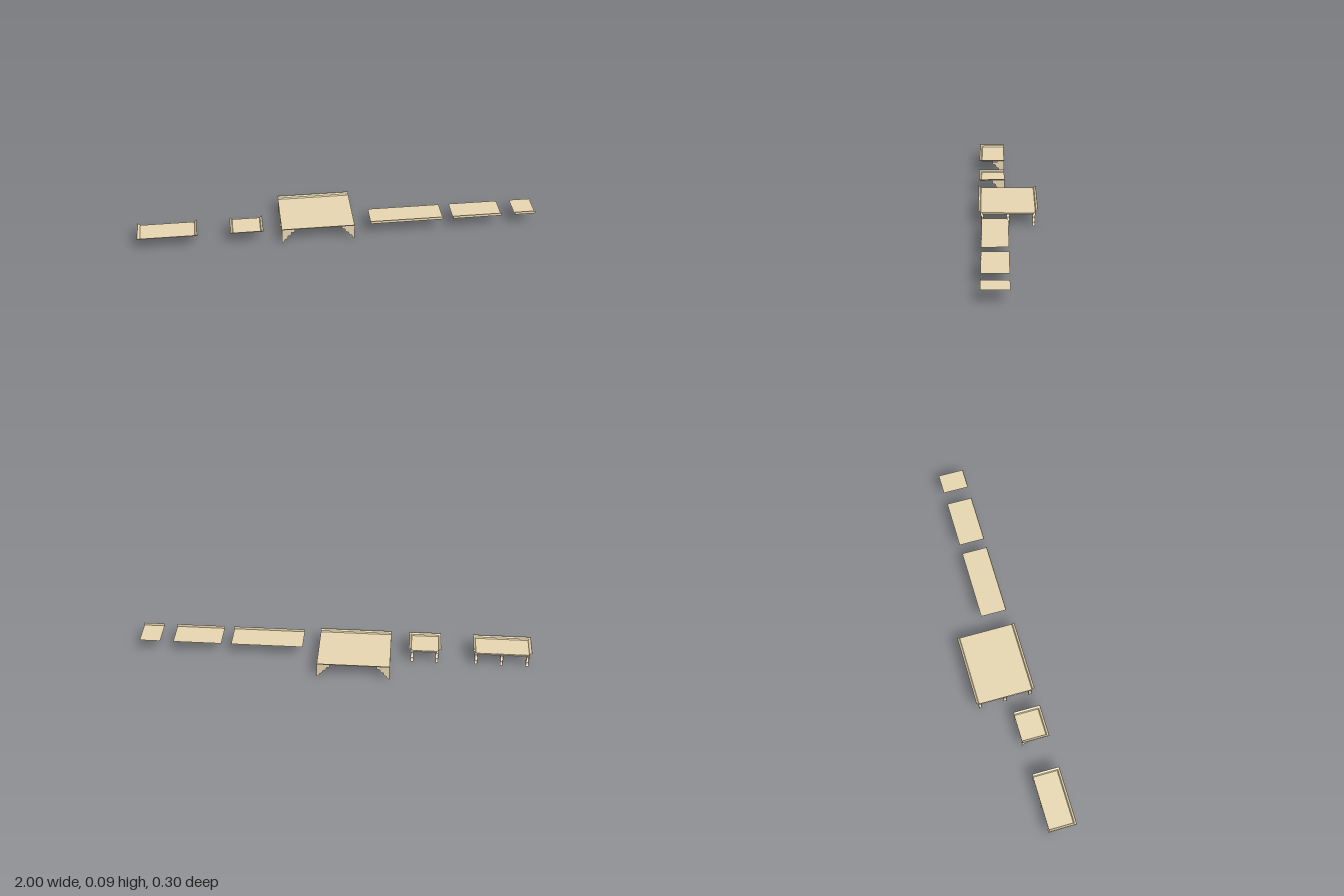
import * as THREE from 'three';

const FLOOR = 0.075;
const tan = new THREE.MeshStandardMaterial({ color: 0xe5d5af, flatShading: true, side: THREE.DoubleSide });

// Skin a list of equal-length rows of [x, y, z] points with quads
function loft(name, rows) {
  const pos = [];
  for (let i = 0; i < rows.length - 1; i++) {
    for (let j = 0; j < rows[i].length - 1; j++) {
      const a = rows[i][j], b = rows[i + 1][j], c = rows[i + 1][j + 1], d = rows[i][j + 1];
      pos.push(...a, ...b, ...c, ...a, ...c, ...d);
    }
  }
  const geo = new THREE.BufferGeometry();
  geo.setAttribute('position', new THREE.Float32BufferAttribute(pos, 3));
  geo.computeVertexNormals();
  const mesh = new THREE.Mesh(geo, tan);
  mesh.name = name;
  return mesh;
}

// Horizontal deck sheet
function deck(x0, x1, z0, z1) {
  const geo = new THREE.PlaneGeometry(x1 - x0, z1 - z0).rotateX(-Math.PI / 2);
  const mesh = new THREE.Mesh(geo, tan);
  mesh.position.set((x0 + x1) / 2, FLOOR, (z0 + z1) / 2);
  mesh.name = 'deck';
  return mesh;
}

// Flared moulding: path entries are [x, z, outX, outZ]
const CORNICE = [[0, FLOOR], [0.004, 0.081], [0.011, 0.0835], [0.014, 0.085], [0.014, 0.0885], [0.012, 0.0895]];
function cornice(path) {
  return loft('cornice', path.map(([x, z, ox, oz]) =>
    CORNICE.map(([o, y]) => [x + ox * o, y, z + oz * o])));
}

// Scalloped bracket outline as [depth, height], rising from the foot
const STEPS = [[0.003, 0], [0.014, 0.017], [0.031, 0.037], [0.049, 0.057], [0.065, 0.064]];
const OUTLINE = [];
for (let s = 0; s < STEPS.length - 1; s++) {
  const [d0, y0] = STEPS[s], [d1, y1] = STEPS[s + 1];
  for (let k = 0; k <= 6; k++) {
    const a = (k / 6) * Math.PI / 2;
    OUTLINE.push([d0 + (d1 - d0) * Math.sin(a), y0 + (y1 - y0) * (1 - Math.cos(a))]);
  }
}
OUTLINE.push([0.065, FLOOR]);

// Bracket with an open back against the wall plane z = 0
function bracket(x) {
  const t = 0.007;
  const edge = (px, depth) => OUTLINE.map(([d, y]) => [px, y, d * depth]);
  return loft('bracket', [edge(x - t, 0), edge(x - t, 1), edge(x + t, 1), edge(x + t, 0)]);
}

// Stepped wall rail plus its brackets
const RAIL = [[0, 0.064], [0.005, 0.064], [0.005, 0.070], [0.009, 0.070], [0.009, FLOOR]];
function wallSupport(xs) {
  const g = new THREE.Group();
  g.name = 'wallSupport';
  g.add(loft('rail', [xs[0], xs[xs.length - 1]].map(x => RAIL.map(([d, y]) => [x, y, d]))));
  xs.forEach(x => g.add(bracket(x)));
  return g;
}

// Wall-mounted balcony with moulding on three sides
function balcony(name, cx, half, xs) {
  const g = new THREE.Group();
  g.name = name;
  const z0 = 0.014, z1 = 0.137;
  g.add(deck(-half, half, z0, z1));
  g.add(cornice([[-half, z0, -1, 0], [-half, z1, -1, 1], [half, z1, 1, 1], [half, z0, 1, 0]]));
  const support = wallSupport(xs);
  support.position.z = z0;
  g.add(support);
  g.position.x = cx;
  return g;
}

// Walkway spanning between two walls, moulded front and back
function walkway(x0, x1) {
  const g = new THREE.Group();
  g.name = 'walkway';
  const z = 0.137;
  g.add(deck(x0, x1, -z, z));
  g.add(cornice([[x0, z, 0, 1], [x1, z, 0, 1]]));
  g.add(cornice([[x1, -z, 0, -1], [x0, -z, 0, -1]]));
  for (const [x, turn] of [[x0, 1], [x1, -1]]) {
    const support = wallSupport([-0.13, 0, 0.13]);
    support.rotation.y = turn * Math.PI / 2;
    support.position.x = x;
    g.add(support);
  }
  return g;
}

// Plain ledge with an upright front lip
function ledge(x0, x1) {
  const g = new THREE.Group();
  g.name = 'ledge';
  const z = 0.131;
  g.add(deck(x0, x1, 0, z));
  g.add(loft('lip', [x0, x1].map(x => [[x, FLOOR, z], [x, 0.0895, z]])));
  return g;
}

export function createModel() {
  const model = new THREE.Group();
  model.name = 'balconySet';
  model.add(balcony('wideBalcony', -0.852, 0.134, [-0.129, 0.001, 0.13]));
  model.add(balcony('narrowBalcony', -0.46, 0.068, [-0.063, 0.063]));
  model.add(walkway(-0.287, 0.078));
  for (const [x0, x1] of [[0.161, 0.527], [0.578, 0.826], [0.894, 1.0]]) model.add(ledge(x0, x1));
  return model;
}
